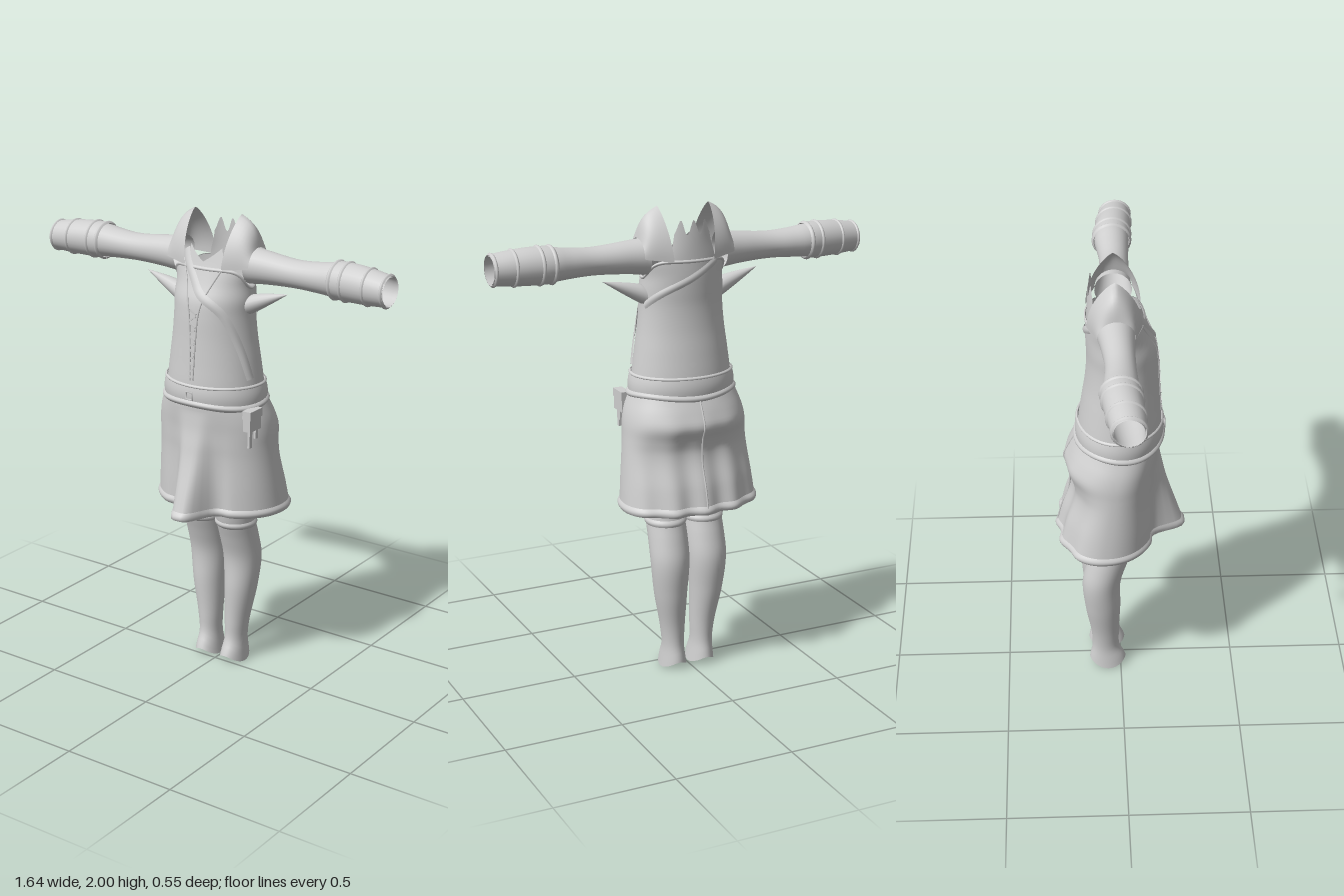
import * as THREE from 'three';

const cloth = new THREE.MeshStandardMaterial({ color: 0xcfcfcf, side: THREE.DoubleSide });
cloth.name = 'pale grey cloth';

const { sin, cos, abs, PI, exp } = Math;

// Smooth lookup in rows of [position, ...values], positions ascending
function table(rows) {
  const n = rows[0].length - 1;
  const f = new THREE.CubicInterpolant(rows.map(r => r[0]), rows.flatMap(r => r.slice(1)), n, new Float32Array(n));
  return t => Array.from(f.evaluate(t));
}

// Open sheet, or tube when closed, from fn(u, v) -> [x, y, z] with u, v in 0..1
function sheet(name, fn, nu, nv, closed = false) {
  const pos = [], idx = [], cols = closed ? nu : nu + 1;
  for (let j = 0; j <= nv; j++) for (let i = 0; i < cols; i++) pos.push(...fn(i / nu, j / nv));
  for (let j = 0; j < nv; j++) for (let i = 0; i < nu; i++) {
    const k = (i + 1) % cols, a = j * cols + i, b = j * cols + k, c = a + cols, d = b - j * cols + (j + 1) * cols;
    idx.push(a, b, d, a, d, c);
  }
  const g = new THREE.BufferGeometry();
  g.setAttribute('position', new THREE.Float32BufferAttribute(pos, 3));
  g.setIndex(idx);
  g.computeVertexNormals();
  return mesh(name, g);
}

function mesh(name, geometry) {
  const m = new THREE.Mesh(geometry, cloth);
  m.name = name;
  return m;
}

// Torso outline: y, half width, front z, back z
const torsoRows = table([
  [1.18, 0.225, 0.165, -0.18], [1.3, 0.213, 0.168, -0.172], [1.4, 0.2, 0.162, -0.158],
  [1.5, 0.186, 0.156, -0.143], [1.6, 0.178, 0.151, -0.136], [1.66, 0.179, 0.143, -0.138],
  [1.72, 0.175, 0.118, -0.14], [1.79, 0.185, 0.093, -0.138], [1.87, 0.15, 0.07, -0.135], [1.96, 0.13, 0.04, -0.13],
]);
function onTorso(a, y, off = 0) {
  const [rx, zf, zb] = torsoRows(y), c = cos(a), zc = -0.01;
  return [(rx + off) * sin(a), y, zc + c * ((c > 0 ? zf - zc : zc - zb) + off)];
}

// Skirt outline: y, half width, front z, back z
const skirtRows = table([
  [0.75, 0.296, 0.152, -0.262], [0.85, 0.287, 0.15, -0.24], [1.0, 0.272, 0.146, -0.2],
  [1.05, 0.268, 0.148, -0.21], [1.11, 0.264, 0.15, -0.232], [1.16, 0.254, 0.155, -0.215], [1.23, 0.228, 0.162, -0.18],
]);
function onSkirt(a, y, off = 0) {
  const [rx, zf, zb] = skirtRows(y), c = cos(a), s = sin(a);
  const t = Math.min(1, Math.max(0, (1.2 - y) / 0.45)), zc = -0.07 * t - 0.01;
  const x = (rx + off) * Math.sign(s) * abs(s) ** 0.92;
  let z = zc + Math.sign(c) * abs(c) ** 0.92 * ((c > 0 ? zf - zc : zc - zb) + off);
  if (c > 0) z += t ** 1.2 * (0.12 * exp(-((x / 0.068) ** 4)) - 0.012 * exp(-(((abs(x) - 0.12) / 0.03) ** 2)));
  else z -= 0.01 * t * cos(abs(x) * 46) * -c;
  return [x, y, z];
}

// Ribbon lying on the torso along [angle, y] points
function strap(name, pts, width) {
  const path = new THREE.CatmullRomCurve3(pts.map(p => new THREE.Vector3(p[0], p[1], 0)));
  return sheet(name, (u, v) => {
    const p = path.getPoint(u), d = path.getTangent(u);
    const w = (v - 0.5) * width, n = Math.hypot(d.x * 0.17, d.y);
    return onTorso(p.x - (w * d.y / n) / 0.17, p.y + w * d.x * 0.17 / n, 0.004 + 0.005 * sin(PI * v));
  }, 40, 4);
}

function tube(name, pts, r, n = 40, closed = false) {
  const path = new THREE.CatmullRomCurve3(pts.map(p => new THREE.Vector3(...p)), closed);
  return mesh(name, new THREE.TubeGeometry(path, n, r, 6, closed));
}

// Leg: y, centre x, half width, front z, back z
const legRows = table([
  [0, 0.065, 0.057, 0.03, -0.142], [0.05, 0.066, 0.051, 0.018, -0.136], [0.1, 0.067, 0.046, -0.005, -0.126],
  [0.18, 0.07, 0.051, -0.008, -0.128], [0.35, 0.083, 0.07, -0.002, -0.155], [0.5, 0.087, 0.083, 0, -0.165],
  [0.6, 0.086, 0.084, 0.028, -0.142], [0.68, 0.086, 0.083, 0.055, -0.118], [0.82, 0.088, 0.086, 0.075, -0.105],
]);
function onLeg(a, y, off = 0) {
  const [x, rx, zf, zb] = legRows(y);
  return [x + (rx + off) * sin(a), y, (zf + zb) / 2 + ((zf - zb) / 2 + off) * cos(a)];
}

// Sleeve: x, centre y, centre z, half height, half depth
const armRows = table([
  [0.17, 1.8, -0.022, 0.076, 0.076], [0.25, 1.8, -0.018, 0.067, 0.067], [0.4, 1.797, -0.012, 0.057, 0.06],
  [0.5, 1.798, -0.014, 0.062, 0.066], [0.57, 1.8, -0.016, 0.069, 0.072], [0.66, 1.8, -0.01, 0.07, 0.07],
  [0.74, 1.798, -0.002, 0.065, 0.066], [0.82, 1.795, 0.005, 0.056, 0.058],
]);
function onArm(a, x, off = 0) {
  const [cy, cz, ry, rz] = armRows(x);
  return [x, cy + (ry + off) * cos(a), cz + (rz + off) * sin(a)];
}

function createSide() {
  const side = new THREE.Group();

  // Leg with notched ankle opening
  side.add(sheet('leg', (u, v) => {
    const a = u * 2 * PI, y0 = 0.004 + 0.034 * cos(a) ** 2;
    return onLeg(a, y0 + (0.82 - y0) * v);
  }, 32, 40, true));
  side.add(sheet('stockingBand', (u, v) => onLeg(u * 2 * PI, 0.655 + 0.028 * v, 0.007 * sin(PI * v)), 32, 4, true));

  // Sleeve, cuff and cuff bands
  side.add(sheet('sleeve', (u, v) => onArm(u * 2 * PI, 0.17 + 0.65 * v), 28, 32, true));
  side.add(sheet('cuff', (u, v) => onArm(u * 2 * PI, 0.57 + 0.25 * v, 0.006), 28, 12, true));
  for (const [x, w] of [[0.575, 0.02], [0.625, 0.018], [0.73, 0.016], [0.812, 0.016]]) {
    side.add(sheet('cuffBand', (u, v) => onArm(u * 2 * PI, x + w * (v - 0.5), 0.004 + 0.008 * sin(PI * v)), 28, 4, true));
  }

  // Peaked shoulder flap arching over the sleeve
  side.add(sheet('shoulderFlap', (u, v) => {
    const a = PI * u, peak = 1 - abs(2 * u - 1) ** 1.3;
    const inner = [0.088 + 0.027 * peak, 1.785 + 0.215 * peak, -0.025 + 0.11 * cos(a)];
    const outer = onArm(PI / 2 - a, 0.2, 0.003);
    const bow = 0.018 * sin(PI * v) * sin(a);
    return inner.map((p, i) => p + (outer[i] - p) * v + (i === 2 ? 0 : bow));
  }, 24, 8));

  // Pointed cap below the sleeve
  side.add(sheet('pointedCap', (u, v) => {
    const a = u * 2 * PI, top = 1.668 + 0.04 * v ** 0.5, low = 1.59 + 0.116 * v ** 1.1;
    const c = cos(a);
    return [0.155 + 0.193 * v, (top + low) / 2 + c * (top - low) / 2, -0.008 + 0.048 * (1 - v) ** 0.9 * sin(a)];
  }, 16, 12, true));

  // Raised edge beside the lacing
  side.add(tube('lacingEdge', [1.33, 1.42, 1.52, 1.6, 1.66, 1.73, 1.785].map((y, i) =>
    onTorso([0.035, 0.05, 0.08, 0.12, 0.2, 0.36, 0.5][i], y, 0.001)), 0.004));
  return side;
}

export function createModel() {
  const model = new THREE.Group();
  const left = createSide(), right = createSide();
  left.name = 'leftSide';
  right.name = 'rightSide';
  right.scale.x = -1;
  model.add(left, right);

  // Bodice, cut away at the arms
  const rim = a => 1.79 - 0.075 * sin(a) ** 8;
  model.add(sheet('bodice', (u, v) => {
    const a = u * 2 * PI;
    return onTorso(a, 1.2 + (rim(a) - 1.2) * v);
  }, 64, 36, true));
  model.add(sheet('bodiceRim', (u, v) => {
    const a = u * 2 * PI;
    return onTorso(a, rim(a) - 0.012 + 0.014 * v, 0.006 * sin(PI * v));
  }, 64, 3, true));

  // Neck panels
  model.add(sheet('frontNeckPanel', (u, v) => {
    const s = 2 * u - 1;
    return onTorso(s * 0.55, 1.78 + (0.03 + 0.06 * abs(s)) * v, -0.004);
  }, 16, 6));
  model.add(sheet('backCollar', (u, v) => {
    const s = 2 * u - 1;
    return onTorso(PI + s * 0.6, 1.78 + (0.14 + 0.03 * cos(s * 9)) * v, -0.004);
  }, 24, 8));

  // Crossbody strap, front and back
  model.add(strap('frontStrap', [[-0.6, 1.85], [-0.25, 1.77], [0.05, 1.7], [0.75, 1.6], [1.1, 1.47], [1.3, 1.34]], 0.035));
  model.add(strap('backStrap', [[1.8, 1.6], [2.4, 1.66], [3.1, 1.72], [3.7, 1.78]], 0.03));

  // Lacing
  for (let i = 0; i < 11; i++) {
    const y = 1.345 + i * 0.027, lace = mesh('lace', new THREE.BoxGeometry(0.022 + i * 0.0013, 0.007, 0.008));
    lace.position.set(...onTorso(0, y, 0.003));
    lace.rotation.z = i % 2 ? 0.5 : -0.5;
    model.add(lace);
  }

  // Belt with rolled edges and a buckle
  model.add(sheet('belt', (u, v) => onTorso(u * 2 * PI, 1.225 + 0.085 * v, 0.007 + 0.005 * sin(PI * v)), 64, 6, true));
  model.add(sheet('beltRoll', (u, v) => {
    const a = u * 2 * PI;
    return onTorso(a, 1.212 + 0.032 * v + 0.006 * cos(3 * a), 0.006 + 0.012 * sin(PI * v));
  }, 64, 6, true));
  model.add(sheet('beltTopEdge', (u, v) => onTorso(u * 2 * PI, 1.3 + 0.014 * v, 0.005 + 0.007 * sin(PI * v)), 64, 4, true));
  const buckle = mesh('buckle', new THREE.TorusGeometry(0.022, 0.005, 6, 4));
  buckle.rotation.z = PI / 4;
  buckle.position.set(...onTorso(0, 1.268, 0.014));
  model.add(buckle);

  // Skirt with pushed-out front fold, rolled hem and back seam
  model.add(sheet('skirt', (u, v) => onSkirt(u * 2 * PI, 0.755 + 0.475 * v), 128, 36, true));
  model.add(sheet('skirtHem', (u, v) => onSkirt(u * 2 * PI, 0.745 + 0.035 * v, 0.008 * sin(PI * v)), 128, 6, true));
  model.add(tube('backSeam', [0.755, 0.85, 0.95, 1.05, 1.11, 1.16, 1.22].map(y => onSkirt(PI, y, 0.001)), 0.004));

  // Hip pouch with a hanging strip
  const pouch = new THREE.Group();
  pouch.name = 'hipPouch';
  for (const [name, w, h, d, x, y, z] of [
    ['pouchBody', 0.035, 0.085, 0.08, 0.235, 1.18, 0.07],
    ['pouchFlap', 0.04, 0.035, 0.086, 0.236, 1.208, 0.07],
    ['hangingStrip', 0.012, 0.15, 0.018, 0.238, 1.14, 0.09],
    ['shortStrip', 0.012, 0.1, 0.015, 0.246, 1.15, 0.06],
  ]) {
    const part = mesh(name, new THREE.BoxGeometry(w, h, d));
    part.position.set(x, y, z);
    pouch.add(part);
  }
  model.add(pouch);
  return model;
}
